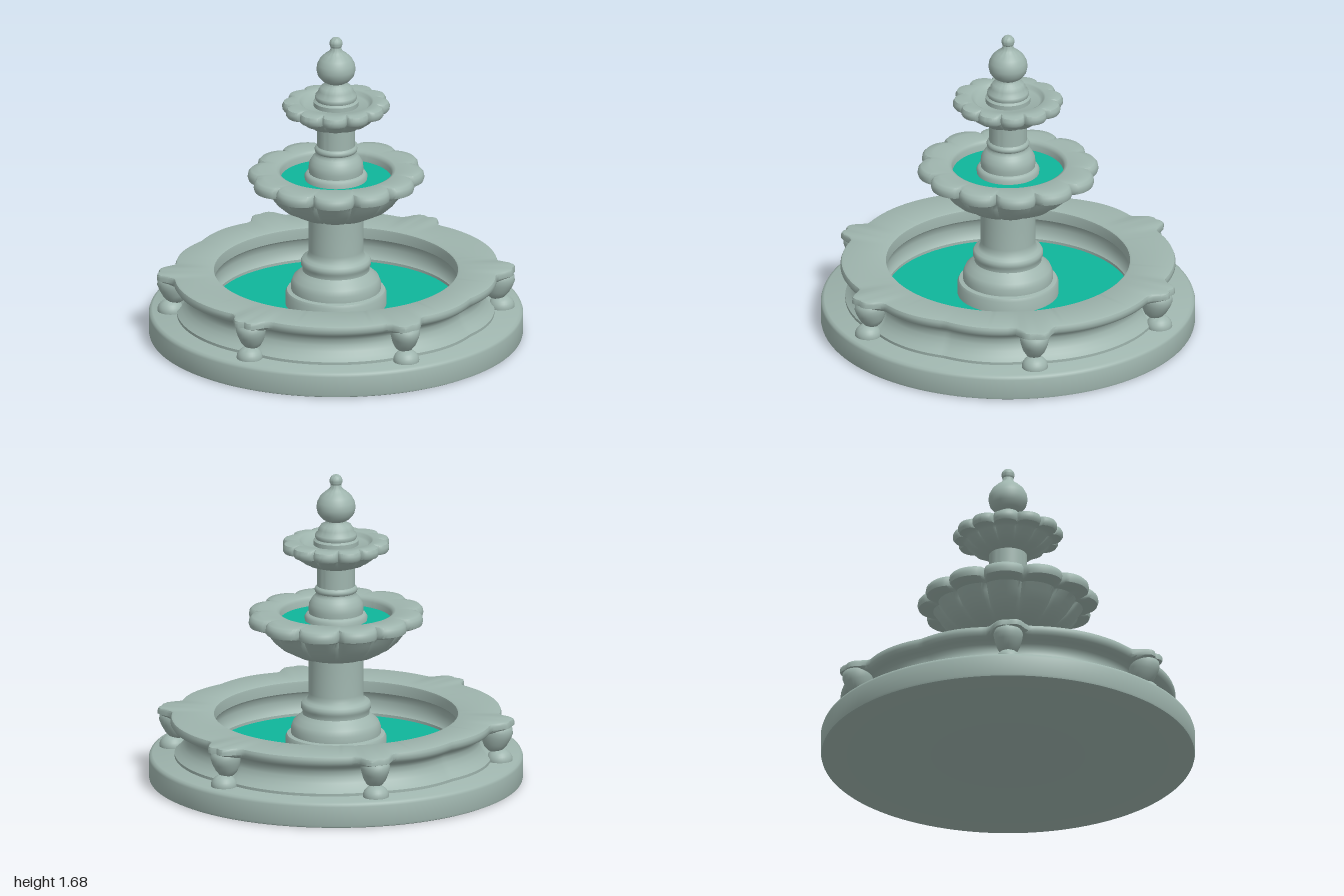
import * as THREE from 'three';
import { toCreasedNormals } from 'three/addons/utils/BufferGeometryUtils.js';

const stone = new THREE.MeshStandardMaterial({ color: 0x9fb5ae });
stone.name = 'weathered stone';
const water = new THREE.MeshStandardMaterial({ color: 0x0fb59b });
water.name = 'turquoise water';

const CORBEL = THREE.MathUtils.degToRad(33.5);

// Sweep a profile of [radius, y, ...weights] around y; outline() may vary the radius by angle.
function sweep(name, profile, segments = 64, outline = (t, p) => p[0]) {
  const pos = [], index = [];
  for (const p of profile) {
    for (let j = 0; j < segments; j++) {
      const t = (j / segments) * Math.PI * 2;
      const r = outline(t, p);
      pos.push(r * Math.cos(t), p[1], r * Math.sin(t));
    }
  }
  for (let i = 0; i < profile.length - 1; i++) {
    for (let j = 0; j < segments; j++) {
      const k = (j + 1) % segments;
      const a = i * segments + j, c = i * segments + k;
      const b = a + segments, d = c + segments;
      if (profile[i][0] > 0) index.push(a, b, c);
      if (profile[i + 1][0] > 0) index.push(b, d, c);
    }
  }
  const g = new THREE.BufferGeometry();
  g.setAttribute('position', new THREE.Float32BufferAttribute(pos, 3));
  g.setIndex(index);
  const mesh = new THREE.Mesh(toCreasedNormals(g, 0.75), stone);
  mesh.name = name;
  return mesh;
}

// Half-circle profile for balls, from bottom to top
function ballProfile(r, y, steps = 14) {
  const pts = [];
  for (let i = 0; i <= steps; i++) {
    const a = (i / steps) * Math.PI;
    pts.push([i % steps ? r * Math.sin(a) : 0, y - r * Math.cos(a)]);
  }
  return pts;
}

// Twelve rounded petals, slightly longer front to back; p[2] is the petal weight
const petals = (depth) => (t, p) => {
  const w = p[2] || 0;
  const lobe = Math.sqrt(Math.abs(Math.cos(6 * t)));
  return p[0] * (1 + 0.06 * w * Math.sin(t) ** 2) + w * depth * lobe;
};

// Six shallow lobes (weight p[2]) with a projecting tongue over each corbel (weight p[3])
function basinOutline(t, p) {
  const a = Math.atan2(Math.abs(Math.sin(t)), Math.abs(Math.cos(t)));
  const u = (a - CORBEL) / (Math.PI / 2 - CORBEL);
  const lobe = a < CORBEL
    ? 0.025 * Math.sin((Math.PI * a) / CORBEL)
    : 0.05 * Math.sqrt(Math.max(0, Math.sin(Math.PI * u)));
  const d = Math.min(Math.abs(a - CORBEL), Math.PI / 2 - a);
  const tongue = 0.1 * Math.exp(-((d / 0.095) ** 4));
  return p[0] + lobe * (p[2] || 0) + tongue * (p[3] || 0);
}

function waterDisc(name, radius, y) {
  const m = new THREE.Mesh(new THREE.CircleGeometry(radius, 64), water);
  m.rotation.x = -Math.PI / 2;
  m.position.y = y;
  m.name = name;
  return m;
}

export function createModel() {
  const fountain = new THREE.Group();
  fountain.name = 'fountain';

  // Round base slab
  fountain.add(sweep('baseSlab', [
    [0, 0], [0.985, 0], [0.997, 0.006], [1, 0.018], [1, 0.118], [0.995, 0.132], [0.98, 0.14], [0, 0.14],
  ], 128));

  // Large basin wall with its lobed rim
  fountain.add(sweep('basin', [
    [0.84, 0.13, 0.6], [0.84, 0.155, 0.6], [0.815, 0.175, 0.6], [0.795, 0.2, 0.6], [0.78, 0.23, 0.6],
    [0.775, 0.26, 0.7], [0.785, 0.283, 0.8], [0.81, 0.298, 0.9, 0.1], [0.833, 0.31, 1, 0.6],
    [0.845, 0.328, 1, 1], [0.845, 0.348, 1, 1], [0.84, 0.36, 1, 1], [0.828, 0.365, 1, 1],
    [0.662, 0.365], [0.652, 0.36], [0.65, 0.35], [0.65, 0.3], [0.665, 0.285],
    [0.67, 0.25], [0.665, 0.2], [0.65, 0.185], [0.65, 0.135],
  ], 240, basinOutline));
  fountain.add(waterDisc('basinWater', 0.655, 0.17));

  // Corbels: a hanging pod above a ball foot
  for (const t of [CORBEL, Math.PI / 2, Math.PI - CORBEL, Math.PI + CORBEL, -Math.PI / 2, -CORBEL]) {
    const corbel = new THREE.Group();
    corbel.name = 'corbel';
    const pod = sweep('corbelPod', [
      [0, -0.09], [0.025, -0.086], [0.045, -0.07], [0.062, -0.04], [0.074, 0], [0.079, 0.03],
      [0.072, 0.058], [0.05, 0.076], [0, 0.084],
    ], 32);
    pod.position.set(0.865, 0.275, 0);
    pod.rotation.z = -0.2;
    pod.scale.x = 1.1;
    const foot = sweep('corbelFoot', ballProfile(0.07, 0), 32);
    foot.position.set(0.885, 0.145, 0);
    foot.scale.y = 0.85;
    corbel.add(pod, foot);
    corbel.rotation.y = -t;
    fountain.add(corbel);
  }

  // Lower pedestal
  fountain.add(sweep('lowerPedestal', [
    [0.27, 0.13], [0.27, 0.235], [0.262, 0.25], [0.24, 0.255], [0.24, 0.29], [0.228, 0.32],
    [0.2, 0.345], [0.18, 0.365], [0.18, 0.385], [0.187, 0.395], [0.188, 0.415], [0.18, 0.43],
    [0.16, 0.438], [0.148, 0.455], [0.146, 0.48], [0.146, 0.7],
  ]));

  // Middle bowl with fluted underside
  fountain.add(sweep('middleBowl', [
    [0, 0.675], [0.14, 0.675], [0.16, 0.682, 0.1], [0.215, 0.7, 0.2], [0.27, 0.732, 0.3], [0.315, 0.775, 0.35],
    [0.345, 0.82, 0.4], [0.362, 0.853, 0.5], [0.385, 0.861, 0.8], [0.4, 0.872, 1], [0.406, 0.892, 1],
    [0.402, 0.915, 1], [0.388, 0.93, 1], [0.36, 0.935, 0.8], [0.32, 0.933], [0.305, 0.926],
    [0.298, 0.91], [0.295, 0.86], [0, 0.855],
  ], 192, petals(0.06)));
  fountain.add(waterDisc('middleBowlWater', 0.297, 0.88));

  // Upper pedestal
  fountain.add(sweep('upperPedestal', [
    [0.165, 0.855], [0.168, 0.9], [0.158, 0.915], [0.145, 0.92], [0.147, 0.945], [0.143, 0.975],
    [0.128, 1.0], [0.115, 1.015], [0.106, 1.025], [0.106, 1.035], [0.113, 1.042], [0.115, 1.053],
    [0.11, 1.063], [0.101, 1.07], [0.101, 1.2],
  ]));

  // Top bowl
  fountain.add(sweep('topBowl', [
    [0, 1.175], [0.095, 1.175], [0.115, 1.183, 0.15], [0.155, 1.2, 0.3], [0.185, 1.225, 0.4],
    [0.205, 1.25, 0.5], [0.215, 1.262, 0.6], [0.234, 1.267, 1], [0.243, 1.28, 1], [0.244, 1.3, 1],
    [0.236, 1.317, 1], [0.222, 1.325, 0.8], [0.2, 1.324], [0.19, 1.318], [0.183, 1.305],
    [0.17, 1.298], [0, 1.298],
  ], 192, petals(0.04)));

  // Finial
  fountain.add(sweep('finialBase', [
    [0.12, 1.29], [0.12, 1.322], [0.108, 1.332], [0.113, 1.345], [0.11, 1.358], [0.098, 1.368],
    [0.094, 1.385], [0.082, 1.405], [0.06, 1.417], [0.052, 1.43], [0.05, 1.45],
  ]));
  fountain.add(sweep('finialBulb', [
    [0, 1.42], [0.045, 1.425], [0.075, 1.443], [0.097, 1.47], [0.105, 1.503], [0.1, 1.535],
    [0.084, 1.565], [0.06, 1.588], [0.04, 1.602], [0.03, 1.616], [0.027, 1.645],
  ], 48));
  fountain.add(sweep('finialTip', ballProfile(0.035, 1.65), 32));

  return fountain;
}
